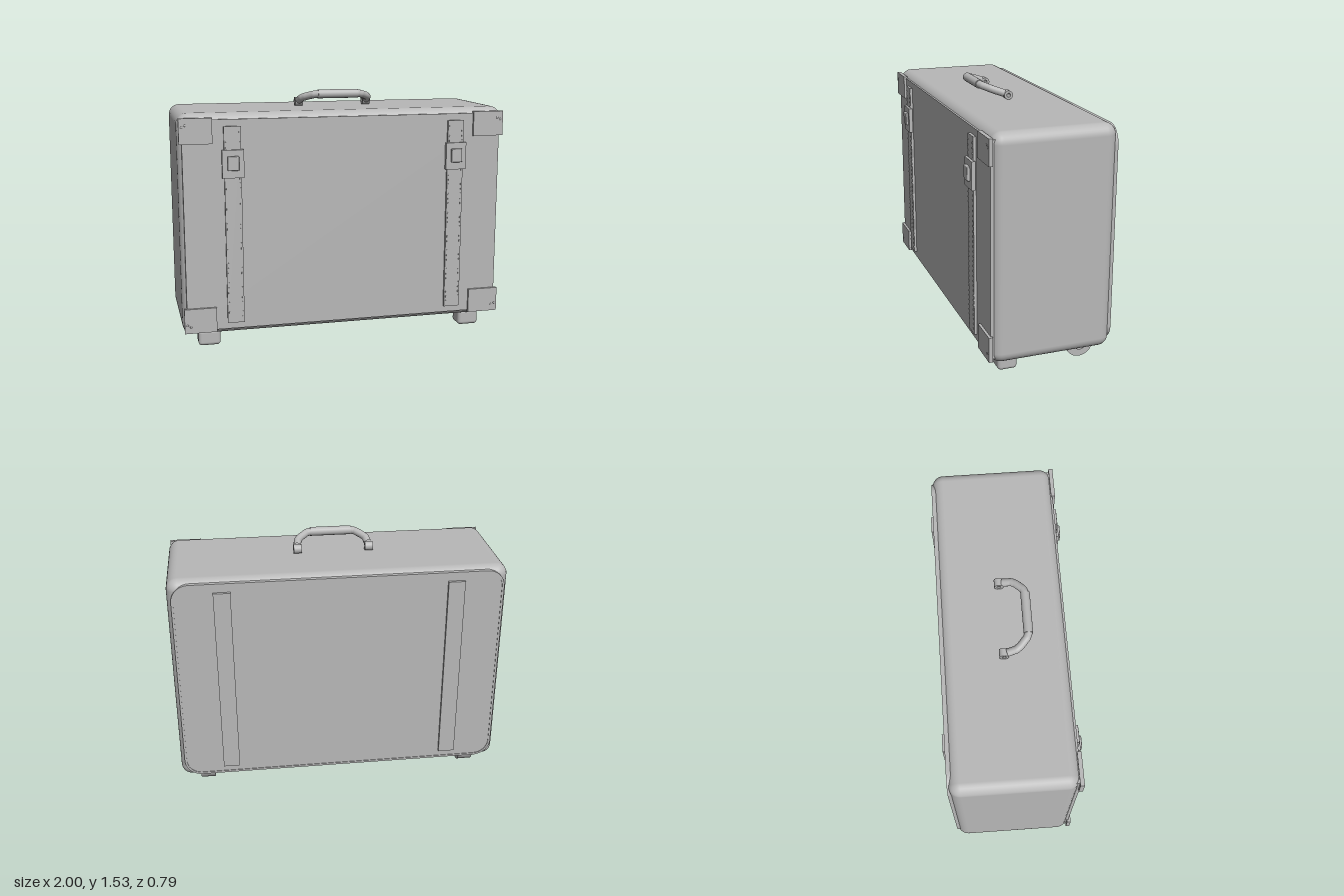
import * as THREE from 'three';
import { RoundedBoxGeometry } from 'three/addons/geometries/RoundedBoxGeometry.js';
import { mergeGeometries } from 'three/addons/utils/BufferGeometryUtils.js';

export function createModel() {
  const group = new THREE.Group();
  const grey = new THREE.MeshStandardMaterial({ color: 0xb8b8b8 });
  grey.name = 'plain grey';

  const add = (name, geometry, x = 0, y = 0, z = 0) => {
    const mesh = new THREE.Mesh(geometry, grey);
    mesh.name = name;
    mesh.position.set(x, y, z);
    group.add(mesh);
    return mesh;
  };
  // box given by its limits on each axis
  const box = (name, x0, x1, y0, y1, z0, z1, r = 0) => {
    const s = [x1 - x0, y1 - y0, z1 - z0];
    const g = r ? new RoundedBoxGeometry(...s, 4, r) : new THREE.BoxGeometry(...s);
    return add(name, g, (x0 + x1) / 2, (y0 + y1) / 2, (z0 + z1) / 2);
  };
  const roundedRect = (path, w, h, r) => {
    path.moveTo(-w + r, -h);
    path.lineTo(w - r, -h);
    path.absarc(w - r, -h + r, r, -Math.PI / 2, 0);
    path.lineTo(w, h - r);
    path.absarc(w - r, h - r, r, 0, Math.PI / 2);
    path.lineTo(-w + r, h);
    path.absarc(-w + r, h - r, r, Math.PI / 2, Math.PI);
    path.lineTo(-w, -h + r);
    path.absarc(-w + r, -h + r, r, Math.PI, Math.PI * 1.5);
    return path;
  };
  const extrude = (shape, depth) =>
    new THREE.ExtrudeGeometry(shape, { depth, bevelEnabled: false, curveSegments: 10 });

  // case body and its two large panels
  box('caseBody', -1, 1, 0.09, 1.42, -0.375, 0.347, 0.065);
  box('frontPanel', -0.975, 0.975, 0.125, 1.385, 0.29, 0.352);
  add('backPanel', extrude(roundedRect(new THREE.Shape(), 0.97, 0.64, 0.1), 0.05), 0, 0.755, -0.378);
  const rim = roundedRect(new THREE.Shape(), 0.975, 0.645, 0.105);
  rim.holes.push(roundedRect(new THREE.Path(), 0.962, 0.632, 0.092));
  add('backRim', extrude(rim, 0.05), 0, 0.755, -0.382);

  for (const side of [-1, 1]) {
    // straps, stitching and buckle
    const cx = side * 0.685;
    box('frontStrap', cx - 0.05, cx + 0.05, 0.165, 1.345, 0.345, 0.368);
    box('backStrap', cx - 0.05, cx + 0.05, 0.165, 1.345, -0.396, -0.37);
    const stitches = [];
    for (let y = 0.2; y < 1.33; y += 0.03) {
      for (const dx of [-0.04, 0.04]) {
        stitches.push(new THREE.BoxGeometry(0.005, 0.01, 0.006).translate(dx, y, 0));
      }
    }
    add('strapStitching', mergeGeometries(stitches), cx, 0, 0.369);
    box('bucklePlate', cx - 0.064, cx + 0.064, 1.045, 1.21, 0.36, 0.383);
    box('buckleButton', cx - 0.034, cx + 0.034, 1.09, 1.174, 0.38, 0.398, 0.005);

    // corner plates with rivets
    for (const [y0, y1, v] of [[0.115, 0.265, -1], [1.246, 1.396, 1]]) {
      const xs = [side * 0.8, side * 0.992].sort((a, b) => a - b);
      box('cornerPlate', xs[0], xs[1], y0, y1, 0.343, 0.367);
      for (const [dx, dy] of [[0.955, 0.035], [0.975, 0.025]]) {
        const rivet = new THREE.SphereGeometry(0.007, 8, 6);
        add('cornerRivet', rivet, side * dx, (y0 + y1) / 2 + v * dy, 0.366).scale.z = 0.6;
      }
    }

    // front feet and rear wheels
    const fx = side * 0.838;
    box('foot', fx - 0.067, fx + 0.067, 0, 0.1, 0.165, 0.281, 0.022);
    const wheel = new THREE.CylinderGeometry(0.085, 0.085, 0.09, 32).rotateZ(Math.PI / 2);
    add('wheel', wheel, fx, 0.085, -0.23);
    const hub = new THREE.CylinderGeometry(0.04, 0.04, 0.11, 24).rotateZ(Math.PI / 2);
    add('wheelHub', hub, fx, 0.085, -0.23);

    // pivot ring at the end of the handle
    const ring = [[0.012, -0.024], [0.027, -0.024], [0.027, 0.024], [0.012, 0.024], [0.012, -0.024]];
    const profile = [];
    ring.forEach(([r, h], i) => {
      // doubled corners keep the edges sharp
      profile.push(new THREE.Vector2(r, h));
      if (i > 0 && i < 4) profile.push(new THREE.Vector2(r, h));
    });
    add('handlePivot', new THREE.LatheGeometry(profile, 24).rotateZ(Math.PI / 2), side * 0.217, 1.448, -0.018);
  }

  // carrying handle, leaning forward
  const onTilt = (x, z) => new THREE.Vector3(x, 1.45 + 0.36 * (z + 0.018), z);
  const half = [[0.217, 0.004], [0.208, 0.055], [0.19, 0.08], [0.15, 0.117], [0.125, 0.127]];
  const points = [
    ...half.map(([x, z]) => onTilt(-x, z)),
    ...half.reverse().map(([x, z]) => onTilt(x, z)),
  ];
  const path = new THREE.CurvePath();
  for (let i = 1; i < points.length; i++) path.add(new THREE.LineCurve3(points[i - 1], points[i]));
  add('handleArms', new THREE.TubeGeometry(path, 80, 0.023, 14, false));
  const grip = new THREE.CylinderGeometry(0.027, 0.027, 0.25, 20).rotateZ(Math.PI / 2);
  add('handleGrip', grip, 0, onTilt(0, 0.127).y, 0.127);

  return group;
}
